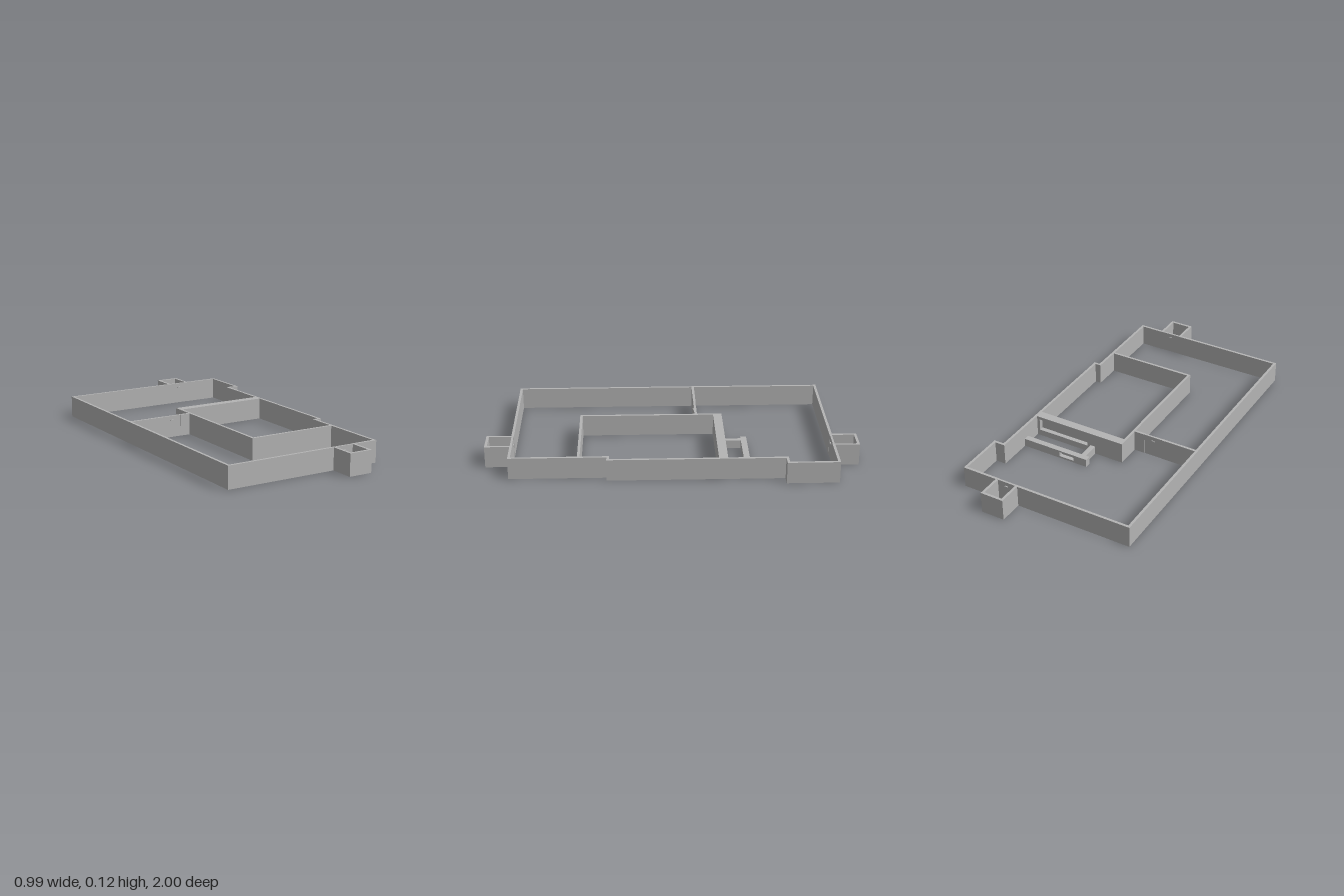
import * as THREE from 'three';

const H = 0.12;   // wall height
const T = 0.014;  // wall thickness

export function createModel() {
  const model = new THREE.Group();
  model.name = 'floorPlan';
  const plaster = new THREE.MeshStandardMaterial({ color: 0xb4b4b4 });
  plaster.name = 'grey plaster';

  // Box given by its limits along each axis
  function block(name, x0, x1, z0, z1, y0 = 0, y1 = H, parent = model) {
    const mesh = new THREE.Mesh(new THREE.BoxGeometry(x1 - x0, y1 - y0, z1 - z0), plaster);
    mesh.name = name;
    mesh.position.set((x0 + x1) / 2, (y0 + y1) / 2, (z0 + z1) / 2);
    parent.add(mesh);
    return mesh;
  }

  // Wall along x with a slightly thinner door panel and a handle on each side
  function doorWall(name, x0, x1, z0, door) {
    const group = new THREE.Group();
    group.name = name;
    const z1 = z0 + T, half = 0.054, inset = 0.0015;
    block('wallSection', x0, door - half, z0, z1, 0, H, group);
    block('wallSection', door + half, x1, z0, z1, 0, H, group);
    block('doorPanel', door - half, door + half, z0 + inset, z1 - inset, 0, H, group);
    for (const side of [-1, 1]) {
      const z = (z0 + z1) / 2 + side * (T / 2 + 0.001);
      block('doorHandle', door - 0.009, door + 0.009, z - 0.003, z + 0.003, 0.092, 0.098, group);
    }
    model.add(group);
  }

  // Three-sided porch outside a door, with a low ledge on its far wall
  function porch(name, x0, x1, inner, outer) {
    const group = new THREE.Group();
    group.name = name;
    const dir = Math.sign(outer - inner);
    const face = outer - dir * T;
    const span = (a, b) => [Math.min(a, b), Math.max(a, b)];
    block('porchSide', x0, x0 + T, ...span(inner, face), 0, H, group);
    block('porchSide', x1 - T, x1, ...span(inner, face), 0, H, group);
    block('porchEnd', x0, x1, ...span(face, outer), 0, H, group);
    block('porchLedge', x0 + 0.022, x1 - 0.022, ...span(face, face - dir * 0.01), 0.02, 0.035, group);
    model.add(group);
  }

  // Outer walls
  const back = -0.868, front = 0.866;
  doorWall('backWall', -0.494, 0.492, back, 0.226);
  doorWall('frontWall', -0.494, 0.402, front - T, 0.198);
  block('rightWall', -0.494, -0.494 + T, back + T, front - T);
  block('leftWallBack', 0.492 - T, 0.492, back + T, -0.59);
  block('leftStepBack', 0.435 - T, 0.492 - T, -0.59 - T, -0.59);
  block('leftWallMiddle', 0.435 - T, 0.435, -0.59, 0.349);
  block('leftStepFront', 0.402 - T, 0.435 - T, 0.349 - T, 0.349);
  block('leftWallFront', 0.402 - T, 0.402, 0.349, front - T);

  // Porches
  porch('backPorch', 0.16, 0.292, back, -1);
  porch('frontPorch', 0.132, 0.266, front, 1);

  // Inner room and the partition with its door
  doorWall('partition', -0.48, -0.116, -0.15, -0.23);
  block('roomSideWall', -0.116, -0.102, -0.239, 0.503 - T);
  block('roomFrontWall', -0.116, 0.402 - T, 0.503 - T, 0.503);

  // Thick wall with a wide niche facing the back
  const niche = { x0: 0.1, x1: 0.405, y0: 0.035, y1: 0.103, z: -0.262 };
  const wz0 = -0.287, wz1 = -0.239, wx0 = -0.116, wx1 = 0.421;
  block('thickWallCore', wx0, wx1, niche.z, wz1);
  block('thickWallEnd', wx0, niche.x0, wz0, niche.z);
  block('thickWallEnd', niche.x1, wx1, wz0, niche.z);
  block('nicheSill', niche.x0, niche.x1, wz0, niche.z, 0, niche.y0);
  block('nicheHead', niche.x0, niche.x1, wz0, niche.z, niche.y1, H);

  // Low counter with a small niche, and its return to the thick wall
  const top = 0.046, cz0 = -0.415, cz1 = -0.382, cz = -0.392;
  block('counterBack', 0.03, wx1, cz, cz1, 0, top);
  block('counterFront', 0.03, 0.109, cz0, cz, 0, top);
  block('counterFront', 0.198, wx1, cz0, cz, 0, top);
  block('counterNicheBase', 0.109, 0.198, cz0, cz, 0, 0.011);
  block('counterNicheTop', 0.109, 0.198, cz0, cz, 0.038, top);
  block('counterReturn', 0.051, 0.078, cz1, wz0, 0, top);

  return model;
}
